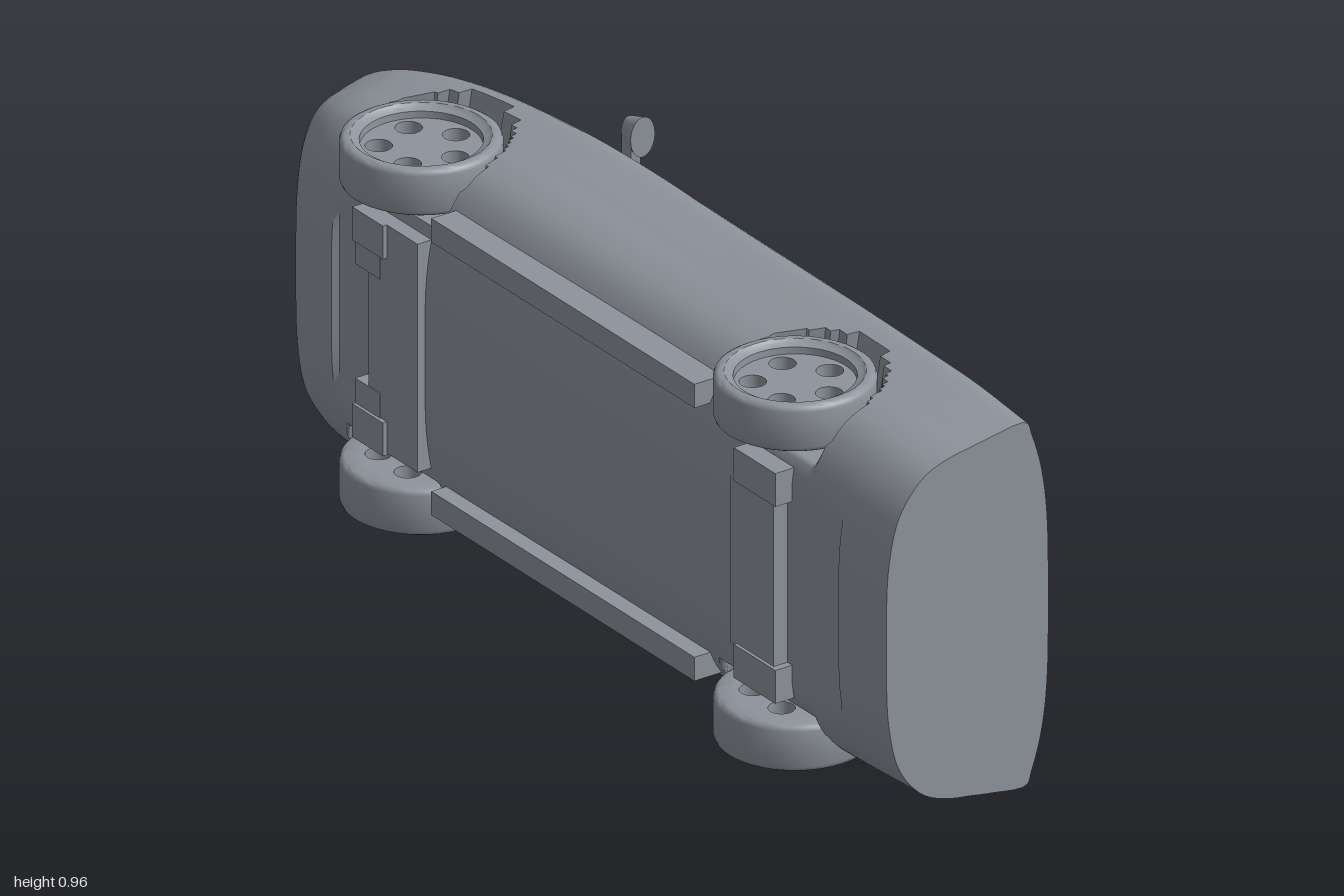
import * as THREE from 'three';
import { toCreasedNormals } from 'three/addons/utils/BufferGeometryUtils.js';

// The car rests on its side: nose at -x, wheels toward +z, roof toward -z.
const MID = 0.488; // y of the centre plane
const WHEELS = [-0.64, 0.575], WHEEL_Z = 0.152;

// Body stations: x, roof z, shoulder z, floor z, half width
const STATIONS = [
  [-0.978, 0.02, 0.06, 0.185, 0.325], [-0.965, -0.003, 0.045, 0.21, 0.345],
  [-0.94, -0.02, 0.03, 0.225, 0.36], [-0.88, -0.048, 0.005, 0.238, 0.38],
  [-0.78, -0.08, -0.03, 0.243, 0.394], [-0.65, -0.102, -0.055, 0.243, 0.403],
  [-0.45, -0.115, -0.075, 0.243, 0.409], [-0.36, -0.13, -0.08, 0.243, 0.41],
  [-0.2, -0.224, -0.085, 0.243, 0.407], [-0.08, -0.282, -0.085, 0.243, 0.404],
  [0.08, -0.309, -0.085, 0.243, 0.401], [0.28, -0.304, -0.085, 0.243, 0.4],
  [0.45, -0.268, -0.085, 0.243, 0.4], [0.7, -0.19, -0.085, 0.243, 0.396],
  [0.83, -0.16, -0.085, 0.243, 0.392], [1, -0.13, -0.08, 0.243, 0.381],
];

// Smooth interpolation of one station column
function column(x, c) {
  const n = STATIONS.length;
  let k = 0;
  while (k < n - 2 && x > STATIONS[k + 1][0]) k++;
  const slope = (i) => {
    const a = STATIONS[Math.max(0, i - 1)], b = STATIONS[Math.min(n - 1, i + 1)];
    return (b[c] - a[c]) / (b[0] - a[0]);
  };
  const p = STATIONS[k], q = STATIONS[k + 1], w = q[0] - p[0], t = (x - p[0]) / w;
  const t2 = t * t, t3 = t2 * t;
  return (2 * t3 - 3 * t2 + 1) * p[c] + (t3 - 2 * t2 + t) * w * slope(k)
    + (3 * t2 - 2 * t3) * q[c] + (t3 - t2) * w * slope(k + 1);
}

// Lower flank: fraction of half width, fraction of height from shoulder to floor
const FLANK = [[1, 0], [0.983, 0.25], [0.962, 0.4], [0.94, 0.55], [0.89, 0.71],
  [0.8, 0.83], [0.665, 0.925], [0.43, 0.985], [0.2, 1], [0, 1]];

// Half cross-section from roof centre to floor centre
function halfSection(x, count) {
  const [top, shoulder, floor, half] = [1, 2, 3, 4].map((c) => column(x, c));
  const power = 2.2 + 1.8 * (1 - Math.min(1, (shoulder - top) / 0.2));
  const pts = [0, 0.2, 0.4, 0.6, 0.78, 0.93].map((t) =>
    new THREE.Vector3(half * t, top + (shoulder - top) * t ** power, 0));
  for (const [s, v] of FLANK) pts.push(new THREE.Vector3(half * s, shoulder + (floor - shoulder) * v, 0));
  const out = new THREE.CatmullRomCurve3(pts).getPoints(count);
  for (const p of out) {
    // Wheel arches
    for (const wx of WHEELS) {
      if (Math.hypot(x - wx, p.y - WHEEL_Z) < 0.166) p.x = Math.min(p.x, 0.265);
    }
    // Shallow floor recesses
    const front = x > -0.8 && x < -0.62 && p.x < 0.2;
    const rear = x > 0.6 && x < 0.84 && p.x < 0.235;
    if (front || rear) p.y = Math.min(p.y, 0.23);
  }
  return out;
}

function bodyGeometry() {
  const NX = 240, M = 56, ring = 2 * M;
  const pos = [], idx = [];
  for (let i = 0; i <= NX; i++) {
    const x = -0.978 + 1.978 * (i / NX);
    const h = halfSection(x, M);
    for (let j = 0; j < ring; j++) {
      const p = h[j <= M ? j : ring - j];
      pos.push(x, MID + (j <= M ? p.x : -p.x), p.y);
    }
  }
  for (let i = 0; i < NX; i++) {
    for (let j = 0; j < ring; j++) {
      const a = i * ring + j, b = i * ring + (j + 1) % ring;
      idx.push(a, b, a + ring, b, b + ring, a + ring);
    }
  }
  // Flat nose and tail caps
  const nose = pos.length / 3, tail = nose + 1, last = NX * ring;
  pos.push(-0.978, MID, 0.1, 1, MID, 0.06);
  for (let j = 0; j < ring; j++) {
    const k = (j + 1) % ring;
    idx.push(nose, k, j, tail, last + j, last + k);
  }
  const g = new THREE.BufferGeometry();
  g.setAttribute('position', new THREE.Float32BufferAttribute(pos, 3));
  g.setIndex(idx);
  return toCreasedNormals(g, 0.8);
}

export function createModel() {
  const model = new THREE.Group();
  model.name = 'car';
  const grey = new THREE.MeshStandardMaterial({ color: 0x8e949c });
  grey.name = 'grey';

  const add = (name, geometry, parent = model) => {
    const mesh = new THREE.Mesh(geometry, grey);
    mesh.name = name;
    parent.add(mesh);
    return mesh;
  };
  // Box given by its limits
  const block = (name, x0, x1, y0, y1, z0, z1) =>
    add(name, new THREE.BoxGeometry(x1 - x0, y1 - y0, z1 - z0))
      .position.set((x0 + x1) / 2, (y0 + y1) / 2, (z0 + z1) / 2);
  // Same block on both sides of the centre plane
  const pair = (name, x0, x1, s0, s1, z0, z1) => {
    block(name, x0, x1, MID + s0, MID + s1, z0, z1);
    block(name, x0, x1, MID - s1, MID - s0, z0, z1);
  };

  add('body', bodyGeometry());

  // Nose panel: oval bulge with a smaller raised centre
  const bulge = (name, r0, r1, x0, x1) => {
    const g = new THREE.CylinderGeometry(r1, r0, x0 - x1, 48).rotateZ(Math.PI / 2);
    g.scale(1, 0.24, 0.05);
    add(name, g).position.set((x0 + x1) / 2, MID, 0.082);
  };
  bulge('nosePanel', 1, 0.82, -0.96, -0.99);
  bulge('noseCentre', 0.8, 0.66, -0.985, -1);

  // Wheels: rounded tyre and a recessed disc with five holes
  const profile = [[0.112, 0], [0.145, 0], [0.152, 0.004], [0.155, 0.012], [0.155, 0.086],
    [0.152, 0.094], [0.145, 0.098], [0.134, 0.098], [0.129, 0.093], [0.117, 0.088], [0.116, 0.07]];
  const tyre = toCreasedNormals(
    new THREE.LatheGeometry(profile.map(([r, y]) => new THREE.Vector2(r, y)), 48), 0.7);
  const face = new THREE.Shape().absarc(0, 0, 0.118, 0, Math.PI * 2);
  for (let i = 0; i < 5; i++) {
    const a = Math.PI / 2 + i * Math.PI * 0.4;
    face.holes.push(new THREE.Path().absarc(0.08 * Math.cos(a), 0.08 * Math.sin(a), 0.026, 0, Math.PI * 2, true));
  }
  const disc = new THREE.ExtrudeGeometry(face, { depth: 0.074, bevelEnabled: false, curveSegments: 24 })
    .rotateX(-Math.PI / 2);
  for (const x of WHEELS) {
    for (const side of [1, -1]) {
      const wheel = new THREE.Group();
      wheel.name = x < 0 ? 'frontWheel' : 'rearWheel';
      add('tyre', tyre, wheel);
      add('wheelDisc', disc, wheel);
      wheel.position.set(x, MID + side * 0.287, WHEEL_Z);
      if (side < 0) wheel.rotation.z = Math.PI;
      model.add(wheel);
    }
  }

  // Door mirrors: tapered oval housing on a short stem
  for (const side of [1, -1]) {
    const housing = new THREE.CylinderGeometry(0.65, 1, 0.045, 32).rotateZ(Math.PI / 2);
    housing.scale(1, 0.042, 0.028);
    add('mirrorHousing', housing).position.set(-0.322, MID + side * 0.44, -0.117);
    add('mirrorStem', new THREE.BoxGeometry(0.03, 0.06, 0.022))
      .position.set(-0.325, MID + side * 0.405, -0.108);
  }

  // Underside: sills and axle carriers
  pair('sill', -0.46, 0.395, 0.262, 0.312, 0.17, 0.257);
  block('frontCarrier', -0.66, -0.5, 0.25, 0.73, 0.2, 0.26);
  pair('frontBracket', -0.7, -0.62, 0.12, 0.2, 0.2, 0.262);
  pair('frontMount', -0.7, -0.6, 0.172, 0.242, 0.2, 0.269);
  block('rearCarrier', 0.52, 0.66, 0.31, 0.66, 0.2, 0.262);
  pair('rearMount', 0.54, 0.675, 0.172, 0.242, 0.2, 0.269);

  return model;
}
